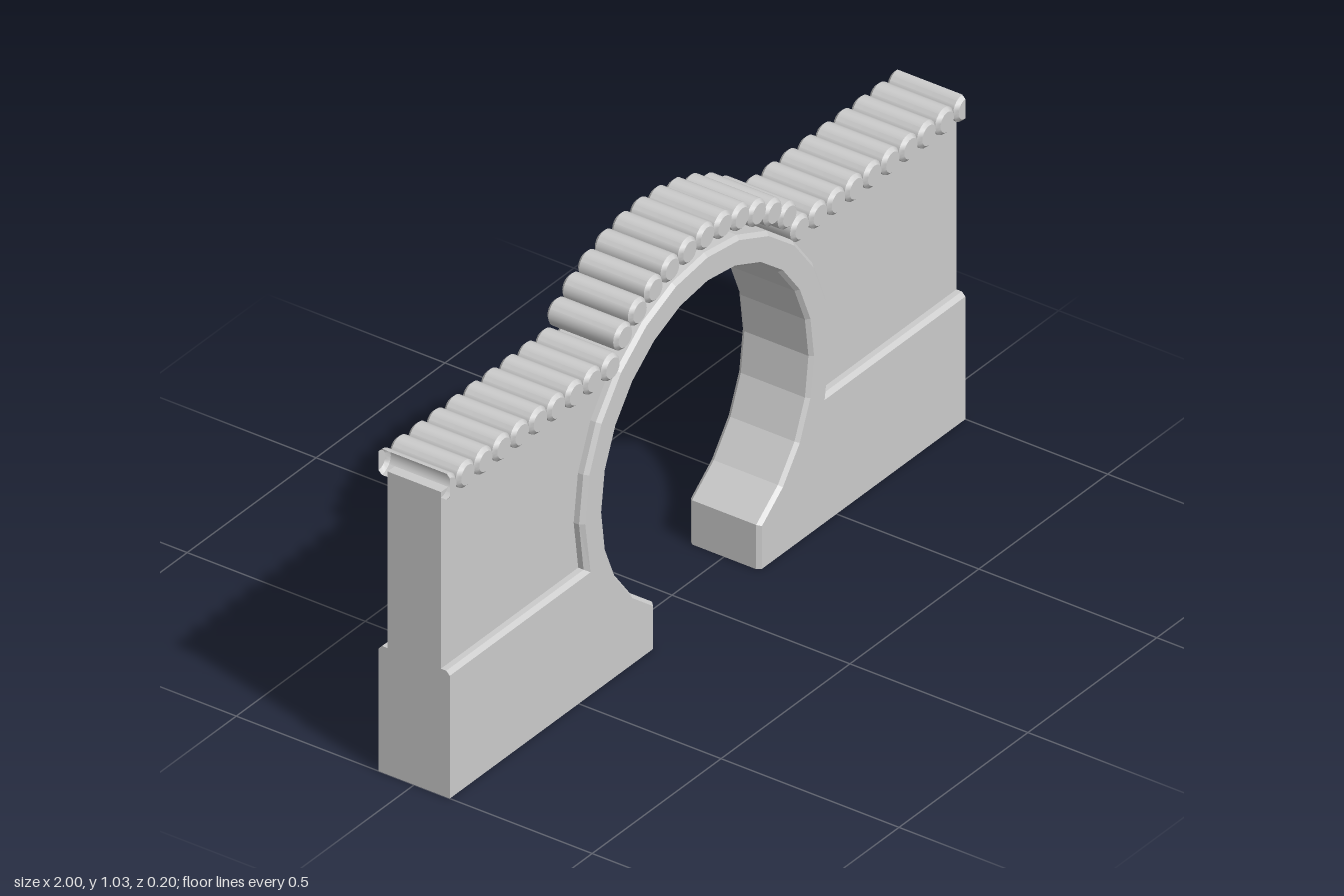
import * as THREE from 'three';
import { toCreasedNormals } from 'three/addons/utils/BufferGeometryUtils.js';

const CY = 0.47; // height of the arch centre
const polar = (r, deg) => {
  const a = THREE.MathUtils.degToRad(deg);
  return new THREE.Vector2(r * Math.cos(a), CY + r * Math.sin(a));
};

// Outline of plinth and arch ring, counter-clockwise, starting at the right foot
function frameOutline(inner, outer, ledge, jamb) {
  const V = (x, y) => new THREE.Vector2(x, y);
  const end = THREE.MathUtils.radToDeg(Math.asin((ledge - CY) / outer));
  const pts = [V(1, 0), V(1, ledge), polar(outer, end)];
  for (let a = 0; a <= 180; a += 15) pts.push(polar(outer, a));
  pts.push(polar(outer, 180 - end), V(-1, ledge), V(-1, 0), V(-jamb, 0));
  const foot = CY - Math.sqrt(inner * inner - jamb * jamb);
  pts.push(V(-jamb, foot));
  for (let a = 225; a >= -45; a -= 15) pts.push(polar(inner, a));
  pts.push(V(jamb, foot), V(jamb, 0));
  return pts;
}

// Skin through outlines at several depths; the underside stays open
function loft(sections) {
  const pos = [];
  for (let s = 0; s < sections.length - 1; s++) {
    const [p, z1] = sections[s], [q, z2] = sections[s + 1];
    for (let i = 0; i < p.length; i++) {
      const j = (i + 1) % p.length;
      if (p[i].y === 0 && p[j].y === 0) continue;
      const a = [p[i].x, p[i].y, z1], b = [p[j].x, p[j].y, z1];
      const c = [q[j].x, q[j].y, z2], d = [q[i].x, q[i].y, z2];
      pos.push(...a, ...b, ...c, ...a, ...c, ...d);
    }
  }
  const g = new THREE.BufferGeometry();
  g.setAttribute('position', new THREE.Float32BufferAttribute(pos, 3));
  g.computeVertexNormals();
  return g;
}

export function createModel() {
  const model = new THREE.Group();
  model.name = 'moonGateWall';
  const stone = new THREE.MeshStandardMaterial({ color: 0xcccccc, flatShading: true, side: THREE.DoubleSide });
  const clay = new THREE.MeshStandardMaterial({ color: 0xcccccc, side: THREE.DoubleSide });
  const add = (parent, name, geo, mat) => {
    const m = new THREE.Mesh(geo, mat);
    m.name = name;
    parent.add(m);
    return m;
  };

  // Plinth and arch ring with chamfered edges
  const frame = new THREE.Group();
  frame.name = 'plinthAndArch';
  model.add(frame);
  const face = frameOutline(0.413, 0.475, 0.33, 0.211);
  const body = frameOutline(0.405, 0.485, 0.34, 0.202);
  add(frame, 'frameSides', loft([[face, -0.1], [body, -0.09], [body, 0.09], [face, 0.1]]), stone);
  const faceGeo = new THREE.ShapeGeometry(new THREE.Shape(face));
  add(frame, 'frameFront', faceGeo, stone).position.z = 0.1;
  const back = add(frame, 'frameBack', faceGeo, stone);
  back.position.z = -0.1;
  back.rotation.y = Math.PI;

  // Recessed wall panels either side of the ring
  for (const side of [1, -1]) {
    const pts = [new THREE.Vector2(1, 0.34), new THREE.Vector2(1, 0.815)];
    for (let a = 45; a >= -15; a -= 15) pts.push(polar(0.47, a));
    pts[pts.length - 1].y = 0.34;
    pts.forEach((p) => { p.x *= side; });
    const geo = new THREE.ExtrudeGeometry(new THREE.Shape(pts), { depth: 0.15, bevelEnabled: false });
    geo.translate(0, 0, -0.075);
    add(model, side > 0 ? 'leftPanel' : 'rightPanel', geo, stone);
  }

  // Round coping tiles lying across the wall
  const tiles = new THREE.Group();
  tiles.name = 'copingTiles';
  model.add(tiles);
  const profile = [[0, -0.1], [0.026, -0.1], [0.035, -0.091], [0.035, 0.091], [0.026, 0.1], [0, 0.1]]
    .map(([r, y]) => new THREE.Vector2(r, y));
  const tileGeo = (segments, start, length) =>
    toCreasedNormals(new THREE.LatheGeometry(profile, segments, start, length).rotateX(Math.PI / 2), 0.6);
  const whole = tileGeo(20, 0, Math.PI * 2);
  const addTile = (x, y, geo = whole) => add(tiles, 'tile', geo, clay).position.set(x, y, 0);

  // Straight runs, each ending in an open half tile
  for (const side of [1, -1]) {
    for (let i = 1; i <= 9; i++) addTile(side * (1 - i * 0.0703), 0.835);
    addTile(side, 0.835, tileGeo(10, side > 0 ? Math.PI : 0, Math.PI));
  }
  // Curved run over the arch
  for (let i = -5; i <= 5; i++) {
    const p = polar(0.53, 90 + i * 7.4);
    addTile(p.x, p.y);
  }
  return model;
}
